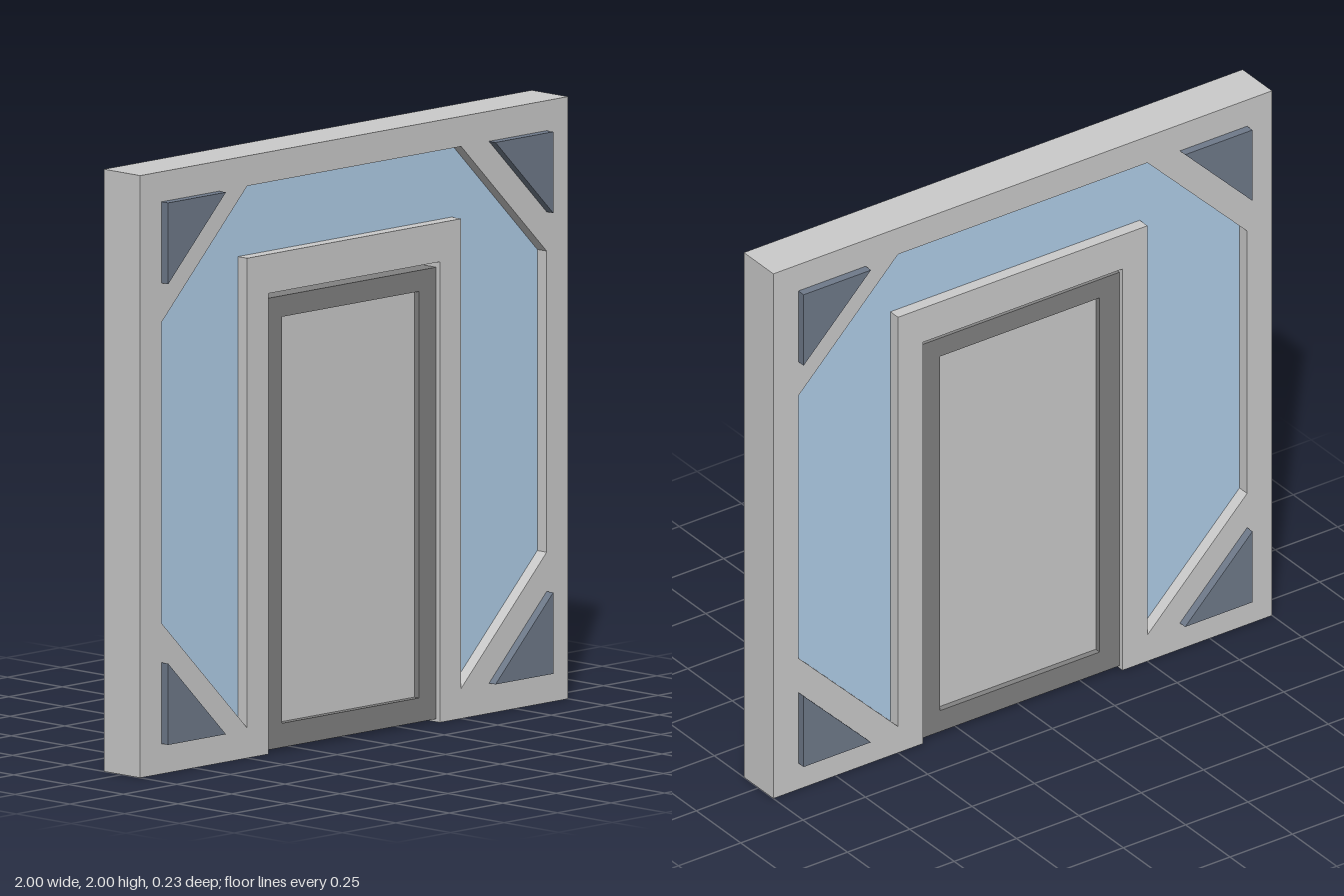
import * as THREE from 'three';

const material = (color) => new THREE.MeshStandardMaterial({ color, flatShading: true });
const outline = (points) => points.map(([x, y]) => new THREE.Vector2(x, y));

// Flat plate of the given depth, centred on z = 0
function plate(name, points, depth, mat, holes = []) {
  const shape = new THREE.Shape(outline(points));
  for (const hole of holes) shape.holes.push(new THREE.Path(outline(hole)));
  const geometry = new THREE.ExtrudeGeometry(shape, { depth, bevelEnabled: false });
  geometry.translate(0, 0, -depth / 2);
  const mesh = new THREE.Mesh(geometry, mat);
  mesh.name = name;
  return mesh;
}

const rect = (w, y0, y1) => [[-w, y0], [w, y0], [w, y1], [-w, y1]];

export function createModel() {
  const model = new THREE.Group();
  model.name = 'doorwayWall';
  const grey = material(0xcccccc);
  const darkGrey = material(0x828282);
  const glass = material(0xb1cfea);
  const slate = material(0x6f7a8a);

  // Wall with a doorway open at the floor and an arched window around it
  const wall = [[-1, 0], [-0.4, 0], [-0.4, 1.53], [0.4, 1.53], [0.4, 0], [1, 0], [1, 2], [-1, 2]];
  const windowOutline = [
    [-0.5, 0.1], [-0.5, 1.66], [0.5, 1.66], [0.5, 0.1], [0.9, 0.5],
    [0.9, 1.5], [0.5, 1.9], [-0.5, 1.9], [-0.9, 1.5], [-0.9, 0.5],
  ];
  model.add(plate('wall', wall, 0.166, grey, [windowOutline]));
  model.add(plate('windowPane', windowOutline, 0.08, glass));

  // Door: dark frame with a recessed panel, just clear of floor and lintel
  const panel = rect(0.32, 0.09, 1.44);
  model.add(plate('doorFrame', rect(0.4, 0.01, 1.51), 0.134, darkGrey, [panel]));
  model.add(plate('doorPanel', panel, 0.09, grey));

  // Raised triangular corner plates on both faces
  for (const sx of [-1, 1]) {
    for (const sy of [-1, 1]) {
      for (const sz of [-1, 1]) {
        const corner = [[0.9, 0.9], [0.63, 0.9], [0.9, 0.63]].map(([x, y]) => [sx * x, 1 + sy * y]);
        const mesh = plate('cornerPlate', corner, 0.04, slate);
        mesh.position.z = sz * 0.093;
        model.add(mesh);
      }
    }
  }
  return model;
}
